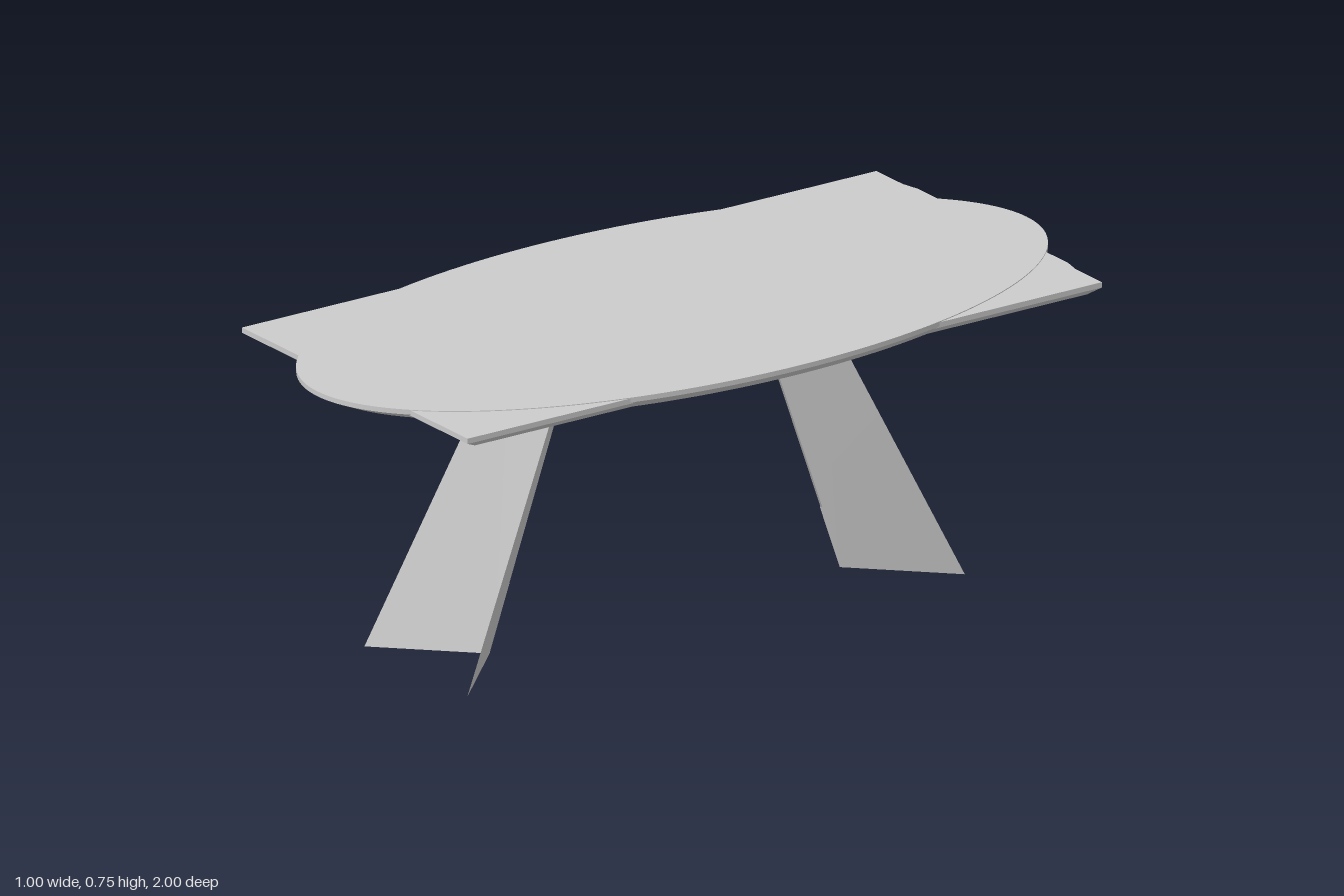
import * as THREE from 'three';
import { toCreasedNormals } from 'three/addons/utils/BufferGeometryUtils.js';

const material = new THREE.MeshStandardMaterial({ color: 0xcccccc });
const sheetMaterial = new THREE.MeshStandardMaterial({ color: 0xcccccc, side: THREE.DoubleSide });

// Flat board with an upright rim that tapers inwards underneath.
function board(name, shape, bottom, rim, top, taper) {
  let geometry = new THREE.ExtrudeGeometry(shape, {
    depth: 2, steps: 2, bevelEnabled: false, curveSegments: 96,
  });
  geometry.rotateX(-Math.PI / 2);
  const pos = geometry.attributes.position;
  const levels = [bottom, rim, top];
  for (let i = 0; i < pos.count; i++) {
    const level = Math.round(pos.getY(i));
    const k = level === 0 ? taper : 1;
    pos.setXYZ(i, pos.getX(i) * k, levels[level], pos.getZ(i) * k);
  }
  geometry = toCreasedNormals(geometry, 0.4);
  const mesh = new THREE.Mesh(geometry, material);
  mesh.name = name;
  return mesh;
}

// One half of a folded leg, with half of the slot along the fold.
function legPanelGeometry() {
  const height = 0.725;
  const slot = 0.004;
  const outline = [
    [0, 0], [0.205, 0], [0.117, height], [0, height],
    [0, 0.56], [slot, 0.56], [slot, 0.16], [0, 0.16],
  ].map(([x, y]) => new THREE.Vector2(x, y));
  const geometry = new THREE.ShapeGeometry(new THREE.Shape(outline));
  const pos = geometry.attributes.position;
  const lerp = THREE.MathUtils.lerp;
  for (let i = 0; i < pos.count; i++) {
    const t = pos.getY(i) / height;
    const across = pos.getX(i) / lerp(0.205, 0.117, t);
    const fold = lerp(0.494, 0.24, t);
    const outer = lerp(0.702, 0.352, t);
    pos.setZ(i, lerp(fold, outer, across));
  }
  geometry.computeVertexNormals();
  return geometry;
}

export function createModel() {
  const model = new THREE.Group();
  model.name = 'table';

  // Oval top
  const oval = new THREE.Shape();
  oval.absellipse(0, 0, 0.5, 1, 0, Math.PI * 2);
  model.add(board('ovalTop', oval, 0.718, 0.738, 0.75, 0.955));

  // Rectangular top, its rear edge slightly stepped out near the oval
  const rectangle = new THREE.Shape([
    [-0.45, -0.895], [0.45, -0.895], [0.45, 0.895], [0.345, 0.895],
    [0.3, 0.905], [-0.3, 0.905], [-0.345, 0.895], [-0.45, 0.895],
  ].map(([x, y]) => new THREE.Vector2(x, y)));
  model.add(board('rectangularTop', rectangle, 0.72, 0.735, 0.748, 0.965));

  // Two folded legs, each made of two mirrored panels
  const legs = new THREE.Group();
  legs.name = 'legs';
  legs.position.set(-0.004, 0, 0.018);
  const panel = legPanelGeometry();
  for (const [name, turn] of [['frontLeg', 0], ['backLeg', Math.PI]]) {
    const leg = new THREE.Group();
    leg.name = name;
    for (const side of [1, -1]) {
      const half = new THREE.Mesh(panel, sheetMaterial);
      half.name = side > 0 ? 'leftPanel' : 'rightPanel';
      half.scale.x = side;
      leg.add(half);
    }
    leg.rotation.y = turn;
    legs.add(leg);
  }
  model.add(legs);
  return model;
}
